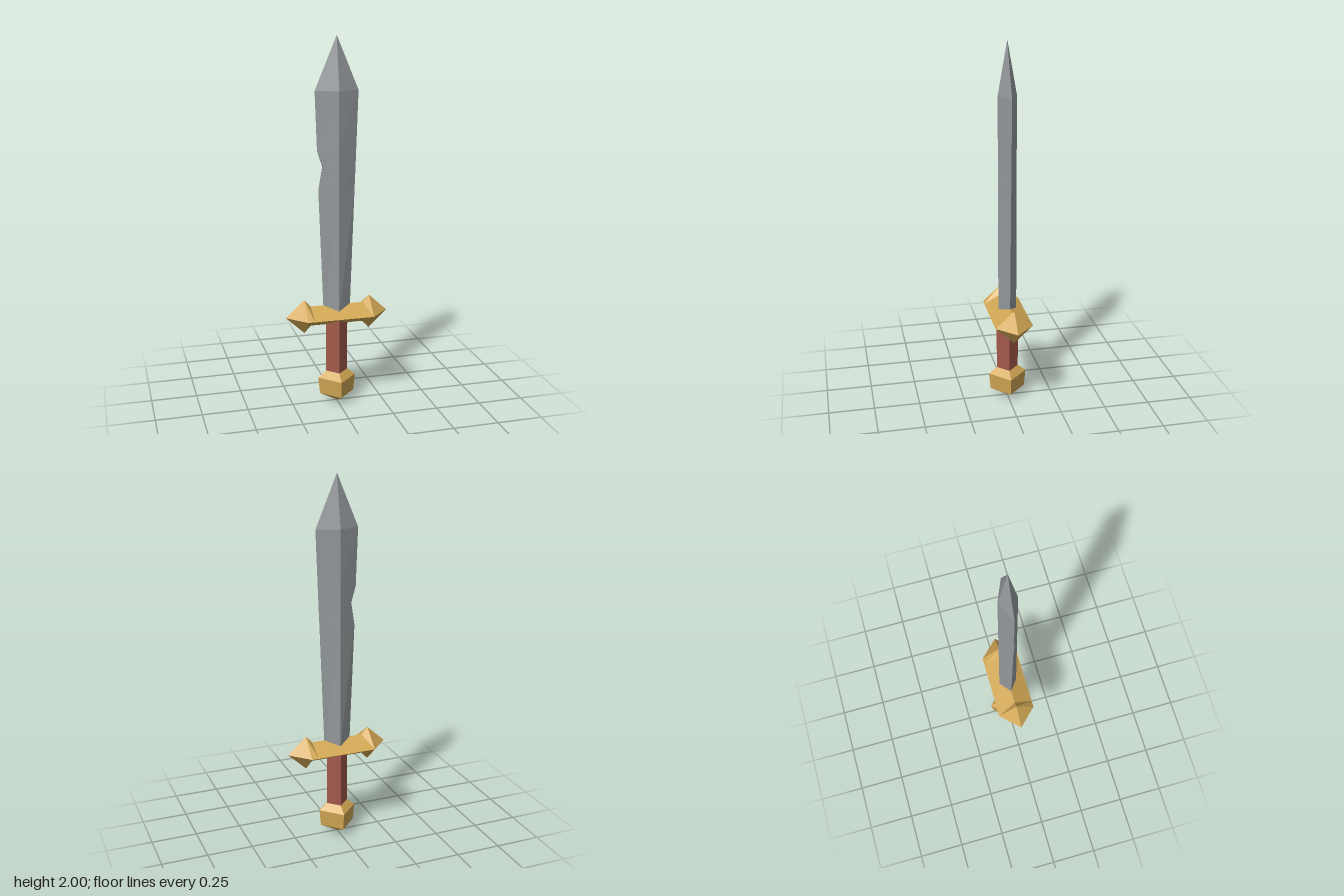
import * as THREE from 'three';

// Flat-shaded skin through matching rings of [x, y, z] points; zero-area triangles are skipped.
function loft(rings) {
  const pos = [];
  const same = (p, q) => p.every((v, i) => Math.abs(v - q[i]) < 1e-6);
  const tri = (a, b, c) => {
    if (!same(a, b) && !same(b, c) && !same(a, c)) pos.push(...a, ...b, ...c);
  };
  for (let i = 0; i < rings.length - 1; i++) {
    const lo = rings[i], hi = rings[i + 1], n = lo.length;
    for (let j = 0; j < n; j++) {
      const k = (j + 1) % n;
      tri(lo[j], lo[k], hi[k]);
      tri(lo[j], hi[k], hi[j]);
    }
  }
  const geo = new THREE.BufferGeometry();
  geo.setAttribute('position', new THREE.Float32BufferAttribute(pos, 3));
  geo.computeVertexNormals();
  return geo;
}

// Four-sided rings around the y axis and along the x axis
const ringY = (y, r) => [[0, y, r], [r, y, 0], [0, y, -r], [-r, y, 0]];
const GUARD_Y = 0.507;
const ringX = (x, h, d) => [[x, GUARD_Y + h, 0], [x, GUARD_Y, d], [x, GUARD_Y - h, 0], [x, GUARD_Y, -d]];

export function createModel() {
  const group = new THREE.Group();
  const material = (name, color) => {
    const m = new THREE.MeshStandardMaterial({ color });
    m.name = name;
    return m;
  };
  const steel = material('steel', 0x94999c);
  const gold = material('gold', 0xd0a653);
  const leather = material('red leather', 0xa2594a);
  const add = (name, rings, mat) => {
    const mesh = new THREE.Mesh(loft(rings), mat);
    mesh.name = name;
    group.add(mesh);
  };

  // Blade: [y, left edge, right edge, ridge depth, half thickness of the notch floor]
  const blade = [
    [0.507, 0.073, 0.073, 0.05, 0],
    [1.2, 0.1, 0.098, 0.05, 0],
    [1.325, 0.075, 0.103, 0.05, 0.014],
    [1.41, 0.106, 0.106, 0.05, 0],
    [1.72, 0.117, 0.117, 0.05, 0],
    [2, 0, 0, 0, 0],
  ];
  add('blade', blade.map(([y, l, r, d, t]) =>
    [[0, y, d], [r, y, 0], [0, y, -d], [-l, y, -t], [-l, y, t]]), steel);

  // Crossguard: diamond bar swelling into pointed ends
  const half = [[0.282, 0, 0], [0.182, 0.094, 0.102], [0.145, 0.055, 0.102]];
  const guard = [
    ...half.map(([x, h, d]) => ringX(-x, h, d)),
    ...half.slice().reverse().map(([x, h, d]) => ringX(x, h, d)),
  ];
  add('crossguard', guard, gold);

  // Grip
  add('grip', [ringY(0.17, 0.06), ringY(0.507, 0.06)], leather);

  // Pommel
  add('pommel', [[0, 0], [0.05, 0.096], [0.143, 0.105], [0.18, 0.06], [0.18, 0]]
    .map(([y, r]) => ringY(y, r)), gold);

  return group;
}
